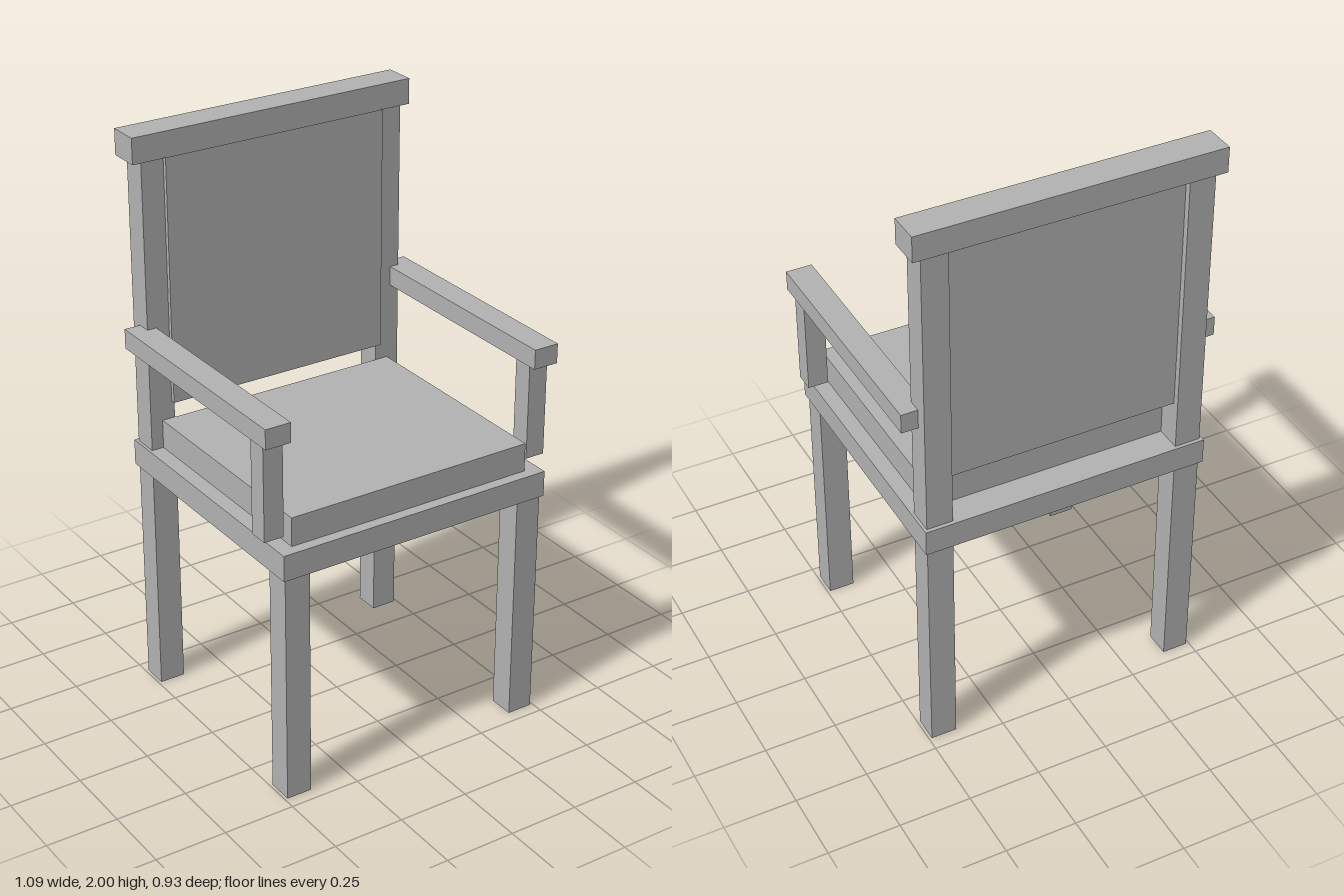
import * as THREE from 'three';

export function createModel() {
  const model = new THREE.Group();
  model.name = 'armchair';
  const grey = new THREE.MeshStandardMaterial({ color: 0xb2b2b2, side: THREE.DoubleSide });
  grey.name = 'plain grey';

  // Block given by its extents on each axis; open blocks are tubes without top and bottom
  function block(name, [x0, x1], [y0, y1], [z0, z1], open = false) {
    const geometry = new THREE.BoxGeometry(x1 - x0, y1 - y0, z1 - z0);
    if (open) {
      const index = Array.from(geometry.index.array);
      index.splice(12, 12);
      geometry.setIndex(index);
      geometry.clearGroups();
    }
    const mesh = new THREE.Mesh(geometry, grey);
    mesh.name = name;
    mesh.position.set((x0 + x1) / 2, (y0 + y1) / 2, (z0 + z1) / 2);
    model.add(mesh);
  }

  // The same block on both sides of the chair
  function pair(name, [x0, x1], y, z, open) {
    block(name + 'Left', [x0, x1], y, z, open);
    block(name + 'Right', [-x1, -x0], y, z, open);
  }

  // Legs; the rear ones run up to carry the back
  pair('frontLeg', [0.4, 0.49], [0, 0.815], [0.365, 0.455], true);
  pair('rearLegAndBackPost', [0.4, 0.49], [0, 1.915], [-0.452, -0.362], true);

  // Seat
  block('seatFrame', [-0.5, 0.5], [0.815, 0.905], [-0.465, 0.465]);
  block('seatCushion', [-0.447, 0.447], [0.905, 1.005], [-0.362, 0.427]);

  // Back
  block('backPanel', [-0.41, 0.41], [1.065, 1.917], [-0.43, -0.347], true);
  block('topRail', [-0.522, 0.522], [1.912, 2], [-0.467, -0.357]);

  // Arms
  pair('armSupport', [0.465, 0.535], [0.937, 1.275], [0.34, 0.41], true);
  pair('armrest', [0.457, 0.547], [1.273, 1.341], [-0.41, 0.445]);

  return model;
}
